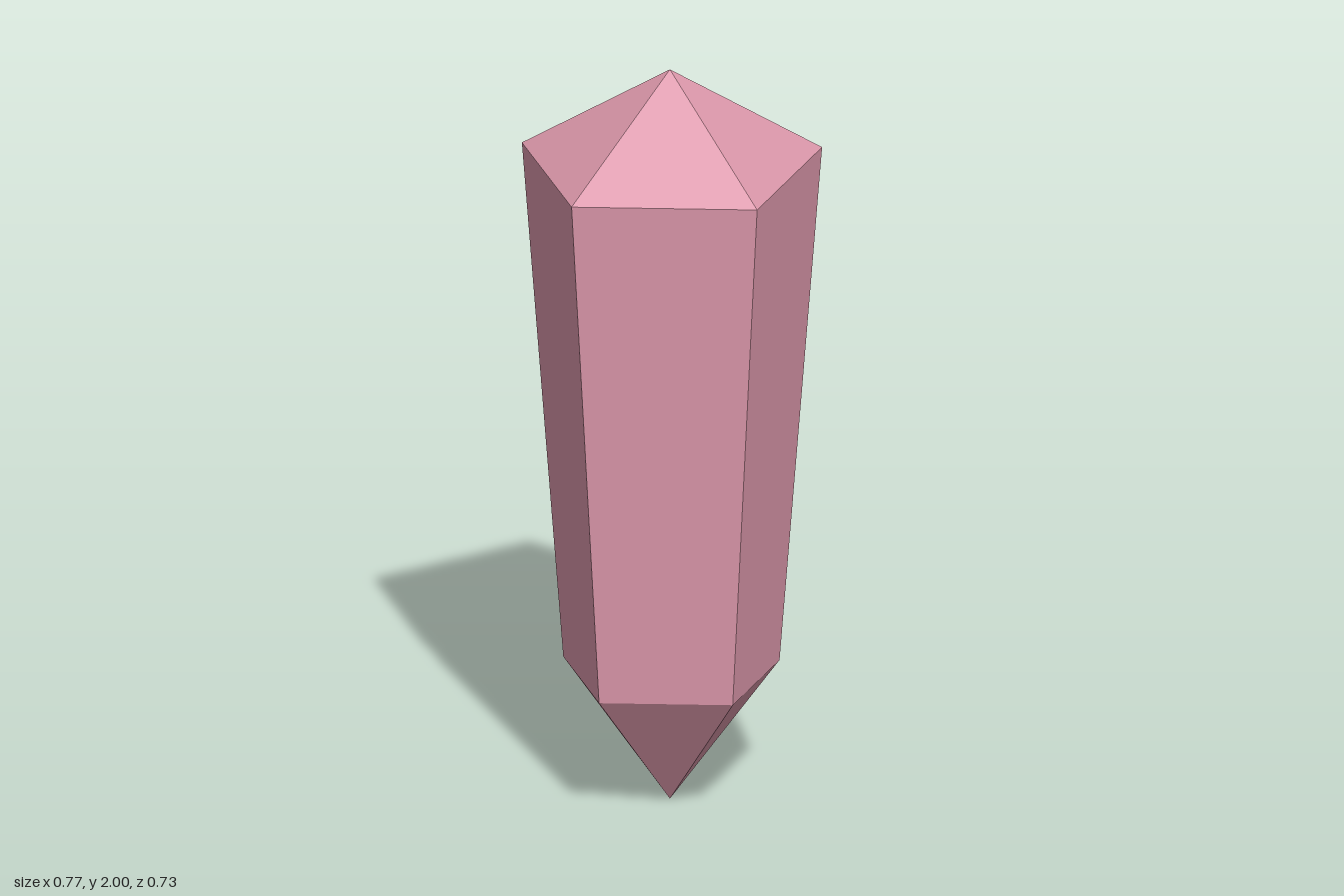
import * as THREE from 'three';

const SIDES = 5;

export function createModel() {
  const crystal = new THREE.Group();
  crystal.name = 'crystal';
  const pink = new THREE.MeshStandardMaterial({ color: 0xdc98ab, flatShading: true });
  pink.name = 'rose pink';

  // One open five-sided section, with a corner pointing to the back
  const addSection = (name, y0, r0, y1, r1) => {
    const geometry = new THREE.CylinderGeometry(r1, r0, y1 - y0, SIDES, 1, true, Math.PI);
    geometry.translate(0, (y0 + y1) / 2, 0.038);
    const mesh = new THREE.Mesh(geometry.toNonIndexed(), pink);
    mesh.geometry.computeVertexNormals();
    mesh.name = name;
    crystal.add(mesh);
  };

  addSection('lowerPoint', 0, 0, 0.35, 0.291);
  addSection('shaft', 0.35, 0.291, 1.745, 0.404);
  addSection('upperPoint', 1.745, 0.404, 2, 0);

  return crystal;
}
